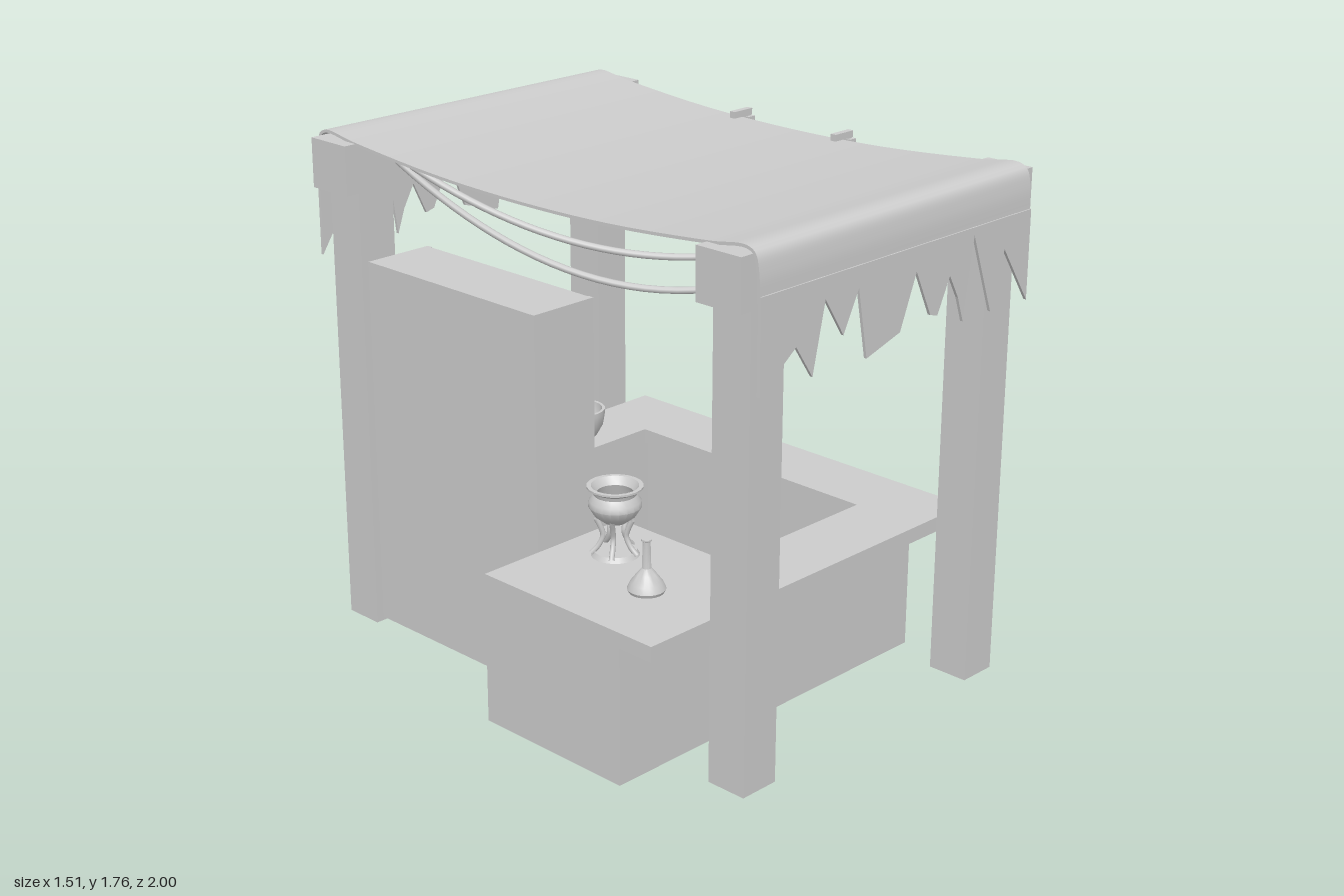
import * as THREE from 'three';
import { toCreasedNormals } from 'three/addons/utils/BufferGeometryUtils.js';

const material = new THREE.MeshStandardMaterial({ color: 0xcccccc, side: THREE.DoubleSide });

function add(parent, name, geometry, x = 0, y = 0, z = 0) {
  const mesh = new THREE.Mesh(geometry, material);
  mesh.name = name;
  mesh.position.set(x, y, z);
  parent.add(mesh);
  return mesh;
}

// Box given by its limits on each axis
function box(parent, name, [x0, x1], [y0, y1], [z0, z1]) {
  return add(parent, name, new THREE.BoxGeometry(x1 - x0, y1 - y0, z1 - z0),
    (x0 + x1) / 2, (y0 + y1) / 2, (z0 + z1) / 2);
}

const polygon = (pts) => new THREE.Shape(pts.map(([x, y]) => new THREE.Vector2(x, y)));
const extrude = (pts, depth) => new THREE.ExtrudeGeometry(polygon(pts), { depth, bevelEnabled: false });

// Vessel profiles: radius and height, both as fractions
const profiles = {
  jar: [[0, 0], [0.9, 0], [1, 0.05], [1, 0.62], [0.9, 0.72], [0.62, 0.8], [0.62, 0.86], [0.8, 0.88], [0.8, 0.98], [0.7, 1], [0, 1]],
  flask: [[0, 0], [0.92, 0], [1, 0.06], [0.85, 0.18], [0.5, 0.34], [0.24, 0.45], [0.2, 0.95], [0.28, 0.97], [0.28, 1], [0, 1]],
  vase: [[0, 0], [0.6, 0], [0.7, 0.08], [1, 0.6], [0.85, 0.7], [0.4, 0.78], [0.38, 0.9], [0.62, 0.95], [0.62, 1], [0, 1]],
  bottle: [[0, 0], [0.75, 0], [0.8, 0.05], [1, 0.6], [0.9, 0.68], [0.4, 0.76], [0.4, 0.94], [0.55, 0.95], [0.55, 1], [0, 1]],
  tube: [[0, 0], [1, 0], [1, 0.25], [0.5, 0.4], [0.45, 0.95], [0.6, 1], [0, 1]],
  mortar: [[0, 0], [0.6, 0], [0.68, 0.08], [0.92, 0.45], [1, 0.85], [1, 1], [0.88, 1], [0.8, 0.6], [0.5, 0.3], [0, 0.22]],
  cauldron: [[0, 0], [0.4, 0], [0.75, 0.2], [0.95, 0.45], [0.92, 0.6], [0.76, 0.76], [0.8, 0.86], [1, 0.95], [1, 1], [0.85, 1], [0.65, 0.8], [0.8, 0.5], [0, 0.15]],
};

function vessel(parent, type, x, y, z, r, h) {
  const pts = profiles[type].map(([a, b]) => new THREE.Vector2(a * r, b * h));
  const sides = type === 'vase' || type === 'bottle' ? 8 : 20;
  const geometry = toCreasedNormals(new THREE.LatheGeometry(pts, sides), 0.7);
  return add(parent, type, geometry, x, y, z);
}

function buildFrame(parent) {
  for (const s of [1, -1]) {
    const z = [0.875 * s - 0.073, 0.875 * s + 0.073];
    box(parent, 'rightPost', [-0.55, -0.405], [0, 1.58], z);
    box(parent, 'leftPost', [0.55, 0.69], [0, 1.58], z);
    box(parent, 'crossBeam', [-0.61, 0.75], [1.57, 1.74], [0.875 * s - 0.087, 0.875 * s + 0.087]);
  }
}

function buildCanopy(parent) {
  // Sagging sheet: an offset curve swept along x
  const half = [[0.994, 1.6], [0.99, 1.69], [0.975, 1.745], [0.94, 1.762], [0.8, 1.745], [0.4, 1.712]];
  const all = [...half, [0, 1.702], ...half.map(([z, y]) => [-z, y]).reverse()];
  const curve = new THREE.CatmullRomCurve3(all.map(([z, y]) => new THREE.Vector3(z, y, 0)));
  const outer = [], inner = [];
  for (let i = 0; i <= 60; i++) {
    const p = curve.getPoint(i / 60), t = curve.getTangent(i / 60);
    outer.push([p.x, p.y]);
    inner.unshift([p.x + t.y * -0.01, p.y + t.x * 0.01]);
  }
  const sheet = extrude([...outer, ...inner], 1.27);
  sheet.rotateY(-Math.PI / 2);
  add(parent, 'canopySheet', toCreasedNormals(sheet, 0.6), 0.705);

  // Torn hanging edges
  const tears = [[-0.565, 1.32], [-0.41, 1.435], [-0.335, 1.325], [-0.285, 1.55], [-0.2, 1.42], [-0.135, 1.55],
    [-0.09, 1.32], [0.065, 1.365], [0.135, 1.54], [0.21, 1.385], [0.245, 1.375], [0.3, 1.49], [0.345, 1.41],
    [0.375, 1.325], [0.415, 1.595], [0.515, 1.325], [0.575, 1.515], [0.705, 1.32]];
  const flap = extrude([...tears, [0.705, 1.62], [-0.565, 1.62]], 0.01);
  add(parent, 'frontFringe', flap, 0, 0, 0.988);
  const back = add(parent, 'backFringe', flap, 0.14, 0, -0.988);
  back.rotation.y = Math.PI;
}

function buildRopes(parent) {
  for (const [sag, lift] of [[0.45, 0], [0.345, 0.01]]) {
    const pts = [];
    for (let i = 0; i <= 16; i++) {
      const t = i / 8 - 1;
      pts.push(new THREE.Vector3(0.06 + 0.52 * t, 1.725 + lift * (1 - t * t) - sag * (1 - t * t), 0.8 * t));
    }
    add(parent, 'rope', new THREE.TubeGeometry(new THREE.CatmullRomCurve3(pts), 40, 0.012, 8));
  }
}

function buildSign(parent) {
  box(parent, 'signBoard', [0.7, 0.733], [1.41, 1.63], [-0.32, 0.32]);
  for (const z of [0.228, -0.228]) {
    box(parent, 'signHangerBar', [0.645, 0.735], [1.712, 1.735], [z - 0.011, z + 0.011]);
    box(parent, 'signHangerDrop', [0.71, 0.728], [1.62, 1.72], [z - 0.011, z + 0.011]);
    box(parent, 'signHangerClip', [0.705, 0.735], [1.65, 1.71], [z - 0.024, z + 0.024]);
  }
}

function buildCounter(parent) {
  // Worktop outline as x and z, open towards the back right
  const outline = [[-0.76, 0.76], [0.755, 0.76], [0.755, -0.76], [0.06, -0.76], [0.06, -0.51],
    [0.5, -0.51], [0.5, 0.5], [-0.15, 0.5], [-0.15, 0.02], [-0.76, 0.02]];
  const top = extrude(outline.map(([x, z]) => [x, -z]), 0.052);
  top.rotateX(-Math.PI / 2);
  add(parent, 'worktop', top, 0, 0.47, 0);
  const y = [0, 0.47];
  box(parent, 'frontPanel', [-0.76, 0.635], y, [0.595, 0.625]);
  box(parent, 'leftPanel', [0.605, 0.635], y, [-0.62, 0.6]);
  box(parent, 'backPanel', [0.06, 0.635], y, [-0.625, -0.595]);
  box(parent, 'rightPanel', [-0.76, -0.73], y, [0.02, 0.6]);
}

function buildShelf(parent) {
  box(parent, 'shelfBack', [-0.53, -0.51], [0.02, 1.33], [-0.79, 0.02]);
  for (const z of [-0.79, 0]) box(parent, 'shelfSide', [-0.53, -0.27], [0.02, 1.33], [z, z + 0.02]);
  for (let i = 0; i < 7; i++) {
    const y = 0.04 + i * 0.2155;
    box(parent, 'shelfBoard', [-0.52, -0.275], [i ? y - 0.032 : 0.02, Math.min(y, 1.33)], [-0.78, 0.01]);
  }
  // Stock per shelf: type, z, radius, height
  const stock = [
    [['vase', -0.66, 0.045, 0.18], ['vase', -0.7, 0.045, 0.17], ['jar', -0.2, 0.055, 0.15], ['flask', -0.42, 0.06, 0.16]],
    [['flask', -0.7, 0.065, 0.18], ['jar', -0.57, 0.052, 0.15], ['bottle', -0.35, 0.025, 0.16], ['jar', -0.15, 0.06, 0.14]],
    [['tube', -0.105, 0.025, 0.18], ['bottle', -0.31, 0.024, 0.165], ['bottle', -0.345, 0.024, 0.165],
      ['bottle', -0.41, 0.026, 0.165], ['tube', -0.47, 0.022, 0.11], ['tube', -0.55, 0.022, 0.12]],
    [['jar', -0.185, 0.07, 0.145], ['flask', -0.405, 0.042, 0.12], ['bottle', -0.49, 0.028, 0.172],
      ['bottle', -0.535, 0.028, 0.172], ['bottle', -0.69, 0.024, 0.15]],
    [['jar', -0.215, 0.052, 0.15], ['bottle', -0.3, 0.022, 0.165], ['bottle', -0.338, 0.022, 0.165],
      ['bottle', -0.376, 0.022, 0.165], ['flask', -0.49, 0.062, 0.172], ['jar', -0.66, 0.068, 0.15]],
    [['jar', -0.09, 0.053, 0.155], ['vase', -0.24, 0.04, 0.18], ['jar', -0.495, 0.052, 0.145], ['vase', -0.61, 0.04, 0.18]],
  ];
  stock.forEach((row, i) => row.forEach(([type, z, r, h], k) =>
    vessel(parent, type, -0.38 + (k % 2 ? -0.02 : 0.02), 0.04 + i * 0.2155, z, r, h)));
}

function buildWares(parent) {
  const y = 0.522;
  vessel(parent, 'jar', -0.27, y, 0.645, 0.05, 0.165);
  vessel(parent, 'flask', -0.49, y, 0.475, 0.062, 0.178);
  vessel(parent, 'mortar', 0.29, y, -0.635, 0.092, 0.108);
  const pestle = add(parent, 'pestle', new THREE.CylinderGeometry(0.008, 0.013, 0.16, 10), 0.305, 0.63, -0.69);
  pestle.rotation.x = -0.85;

  // Cauldron on a ring stand with bowed legs
  const stand = new THREE.Group();
  stand.name = 'cauldronStand';
  stand.position.set(-0.36, y, 0.205);
  vessel(stand, 'cauldron', 0, 0.115, 0, 0.092, 0.126);
  const ring = add(stand, 'standBase', new THREE.CylinderGeometry(0.07, 0.08, 0.016, 20), 0, 0.008, 0);
  ring.name = 'standBase';
  const bow = new THREE.CatmullRomCurve3([[0.062, 0.13], [0.048, 0.1], [0.04, 0.07], [0.055, 0.035], [0.078, 0.01]]
    .map(([r, h]) => new THREE.Vector3(r, h, 0)));
  const legGeometry = new THREE.TubeGeometry(bow, 14, 0.009, 8);
  for (let i = 0; i < 5; i++) add(stand, 'standLeg', legGeometry).rotation.y = (i * Math.PI * 2) / 5;
  parent.add(stand);
}

// Tilted crate stowed beneath the wide end of the counter
function buildCrate(parent) {
  const crate = new THREE.Group();
  crate.name = 'crate';
  box(crate, 'crateBody', [-0.15, 0.15], [-0.07, 0.06], [-0.1, 0.1]);
  box(crate, 'crateLid', [-0.16, 0.16], [0.06, 0.08], [-0.11, 0.11]);
  const handle = add(crate, 'crateHandle', new THREE.TorusGeometry(0.025, 0.006, 6, 12, Math.PI), 0, 0, -0.1);
  handle.rotation.z = Math.PI;
  crate.position.set(-0.38, 0.13, 0.33);
  crate.rotation.set(0, -0.8, 0.2);
  parent.add(crate);
}

export function createModel() {
  const model = new THREE.Group();
  model.name = 'marketStall';
  const parts = { frame: buildFrame, canopy: buildCanopy, ropes: buildRopes, sign: buildSign,
    counter: buildCounter, shelf: buildShelf, wares: buildWares, storage: buildCrate };
  for (const [name, build] of Object.entries(parts)) {
    const group = new THREE.Group();
    group.name = name;
    build(group);
    model.add(group);
  }
  return model;
}
